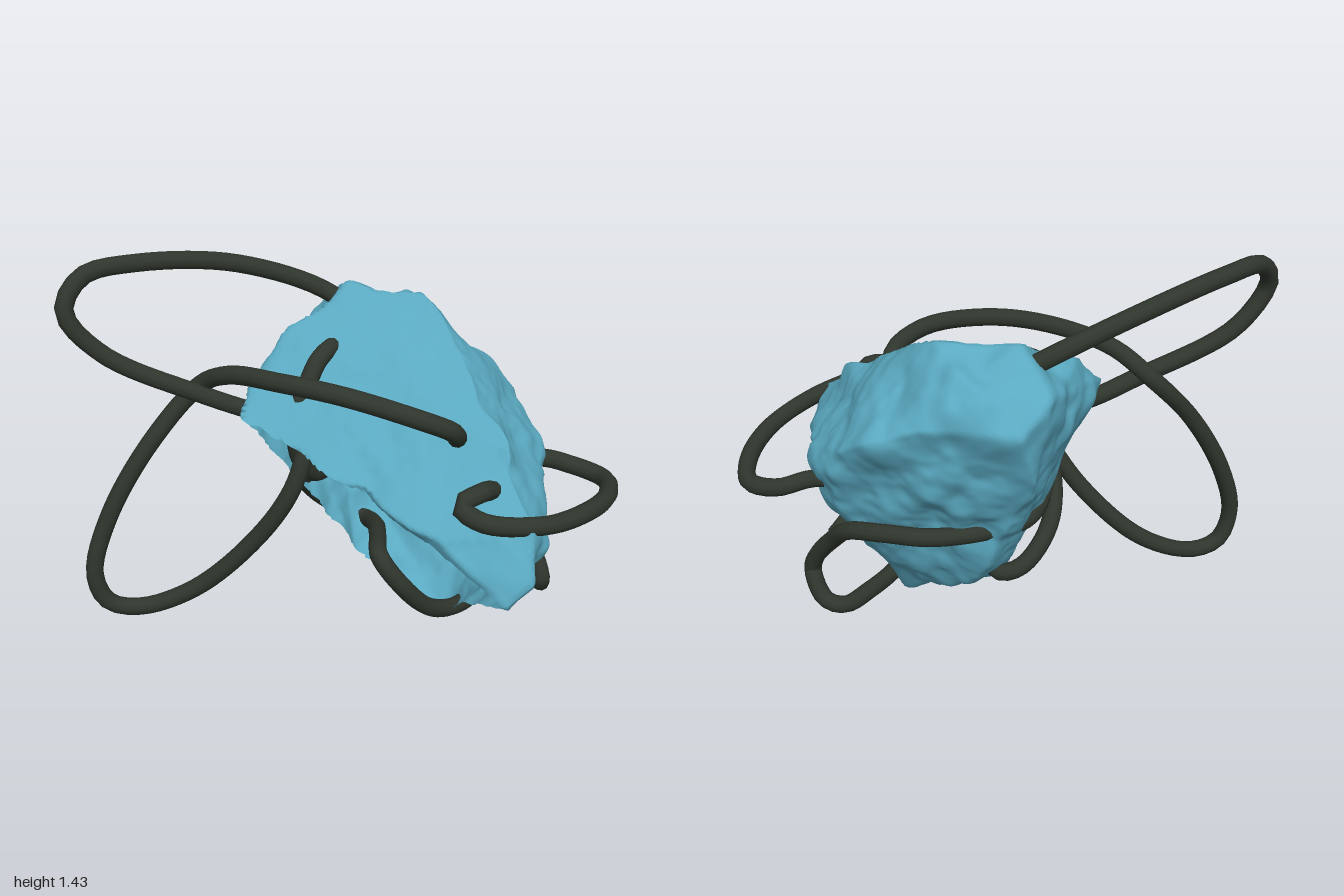
import * as THREE from 'three';
import { mergeVertices } from 'three/addons/utils/BufferGeometryUtils.js';
import { ConvexGeometry } from 'three/addons/geometries/ConvexGeometry.js';

const V = (p) => new THREE.Vector3(...p);

// Smooth seeded value noise in the range -1..1
function hash(x, y, z) {
  const s = Math.sin(x * 127.1 + y * 311.7 + z * 74.7) * 43758.5453;
  return (s - Math.floor(s)) * 2 - 1;
}
function noise(x, y, z) {
  const i = [x, y, z].map(Math.floor);
  const f = [x - i[0], y - i[1], z - i[2]].map((t) => t * t * (3 - 2 * t));
  let sum = 0;
  for (let c = 0; c < 8; c++) {
    const a = c & 1, b = (c >> 1) & 1, d = c >> 2;
    sum += hash(i[0] + a, i[1] + b, i[2] + d)
      * (a ? f[0] : 1 - f[0]) * (b ? f[1] : 1 - f[1]) * (d ? f[2] : 1 - f[2]);
  }
  return sum;
}

// Rough outline of the boulder
const CORNERS = [
  [-0.12, 1.27, -0.24], [0.2, 1.23, -0.22], [0.42, 1.09, -0.03], [0.56, 0.95, 0.13],
  [0.81, 0.7, 0.4], [0.82, 0.53, 0.46], [0.73, 0.46, 0.51], [0.5, 0.62, 0.48], [0.3, 0.69, 0.42],
  [-0.33, 0.87, 0.25], [-0.36, 0.98, 0.1], [-0.3, 1.12, -0.02], [-0.24, 1.13, -0.4],
  [-0.16, 1.04, -0.51], [0.2, 1.02, -0.47], [0.53, 0.87, -0.4], [-0.2, 0.8, -0.42],
  [0.15, 0.75, -0.4], [0.64, 0.68, -0.29], [0.72, 0.72, -0.1], [0.79, 0.66, 0.12],
  [0.83, 0.58, 0.27], [0.05, 1.2, -0.4], [0.35, 0.6, -0.35], [0.6, 0.52, -0.2],
  [0.05, 0.28, -0.26], [-0.1, 0.35, -0.18], [0.43, 0.4, -0.26], [0.38, 0.02, 0],
  [0.25, 0.06, -0.02], [0, 0.2, -0.06], [-0.2, 0.55, 0.07], [0.6, 0.3, 0.2],
];

// Hollow rock: rays from the centre stop at the outline, then get roughened
function rockGeometry() {
  const centre = V([0.2, 0.72, 0]);
  const hull = new ConvexGeometry(CORNERS.map(V)).getAttribute('position');
  const planes = [];
  for (let i = 0; i < hull.count; i += 3) {
    const [a, b, c] = [0, 1, 2].map((k) => new THREE.Vector3().fromBufferAttribute(hull, i + k));
    const plane = new THREE.Plane().setFromCoplanarPoints(a, b, c);
    if (plane.distanceToPoint(centre) > 0) plane.negate();
    planes.push(plane);
  }
  // The open underside at the front
  const mouth = new THREE.Plane().setFromNormalAndCoplanarPoint(
    V([-0.4, -0.55, 0.74]).normalize(), V([0.38, 0.02, 0]));
  planes.push(mouth);
  const flatTop = V([0, 0.74, 0.67]);

  let geo = new THREE.IcosahedronGeometry(1, 50);
  geo.deleteAttribute('normal');
  geo.deleteAttribute('uv');
  geo = mergeVertices(geo, 1e-5);
  const pos = geo.getAttribute('position');
  const open = [];
  const dir = new THREE.Vector3(), p = new THREE.Vector3();
  for (let i = 0; i < pos.count; i++) {
    dir.fromBufferAttribute(pos, i).normalize();
    let r = Infinity, face = null;
    for (const plane of planes) {
      const slope = plane.normal.dot(dir);
      if (slope < 1e-6) continue;
      const t = -plane.distanceToPoint(centre) / slope;
      if (t < r) { r = t; face = plane; }
    }
    p.copy(dir).multiplyScalar(r).add(centre);
    open[i] = mouth.distanceToPoint(p) > -0.012;
    const rough = face.normal.dot(flatTop) > 0.95 ? 0.45 : 1;
    const n = 0.034 * noise(p.x * 5.5, p.y * 5.5, p.z * 5.5)
      + 0.018 * noise(p.x * 11 + 7, p.y * 11, p.z * 11)
      + 0.004 * noise(p.x * 27, p.y * 27 + 5, p.z * 27);
    p.addScaledVector(dir, n * rough);
    pos.setXYZ(i, p.x, Math.max(p.y, 0.01), p.z);
  }
  const index = geo.getIndex().array;
  const kept = [];
  for (let i = 0; i < index.length; i += 3) {
    const tri = [index[i], index[i + 1], index[i + 2]];
    if (!tri.every((k) => open[k])) kept.push(...tri);
  }
  geo.setIndex(kept);
  geo.computeVertexNormals();
  return geo;
}

// Roots weaving in and out of the rock
const ROOTS = {
  upperLoop: [
    [0.02, 1.05, -0.2], [-0.17, 1.2, -0.25], [-0.5, 1.34, -0.1], [-0.8, 1.395, 0.17],
    [-0.93, 1.38, 0.33], [-0.965, 1.27, 0.41], [-0.85, 1.1, 0.36], [-0.5, 0.93, 0.23],
    [-0.3, 0.85, 0.15], [0, 0.78, 0.1], [0.25, 0.71, 0.1], [0.5, 0.68, 0.14], [0.62, 0.72, 0.2],
  ],
  sideLoop: [
    [0.62, 0.72, 0.2], [0.62, 0.78, 0.3], [0.6, 0.815, 0.4], [0.55, 0.79, 0.46],
    [0.63, 0.74, 0.46], [0.82, 0.69, 0.32], [0.94, 0.66, 0.1], [0.965, 0.63, -0.1],
    [0.92, 0.61, -0.24], [0.8, 0.62, -0.28], [0.66, 0.65, -0.24], [0.45, 0.58, -0.15],
    [0.2, 0.5, -0.05], [0.16, 0.52, 0], [0.28, 0.66, 0.08], [0.46, 0.8, 0.1],
  ],
  largeLoop: [
    [0.46, 0.8, 0.1], [0.46, 0.9, 0.19], [0.46, 0.96, 0.26], [0.35, 1.03, 0.34],
    [0.1, 1.08, 0.36], [-0.15, 1.08, 0.33], [-0.4, 1.04, 0.25], [-0.55, 0.95, 0.2],
    [-0.72, 0.72, 0.32], [-0.86, 0.43, 0.42], [-0.91, 0.2, 0.47], [-0.87, 0.07, 0.45],
    [-0.76, 0.04, 0.4], [-0.55, 0.13, 0.33], [-0.3, 0.38, 0.28], [-0.15, 0.62, 0.26],
    [-0.11, 0.8, 0.2], [-0.13, 0.9, 0.08],
  ],
  // Pierces the back wall, bows out of the mouth and dips under the rock
  lowerRoot: [
    [-0.11, 0.8, 0.1], [-0.2, 0.6, 0.05], [-0.21, 0.43, -0.08], [-0.12, 0.3, -0.19],
    [-0.03, 0.27, -0.2], [0.06, 0.32, -0.08], [0.14, 0.385, 0.12], [0.2, 0.4, 0.27],
    [0.27, 0.31, 0.27], [0.36, 0.14, 0.15], [0.43, 0.08, 0.02], [0.5, 0.085, -0.15],
    [0.57, 0.1, -0.28], [0.64, 0.115, -0.28], [0.73, 0.155, -0.15], [0.71, 0.23, -0.16],
    [0.61, 0.37, -0.22], [0.53, 0.46, -0.29], [0.38, 0.5, -0.345], [0.2, 0.51, -0.36],
    [0, 0.52, -0.3], [-0.14, 0.51, -0.17], [-0.18, 0.54, -0.02],
    [-0.2, 0.65, 0.07], [-0.2, 0.8, 0.12],
  ],
  // Small arch over the flat top
  topArch: [
    [-0.2, 0.8, 0.12], [-0.17, 0.9, 0.15], [-0.14, 0.99, 0.12], [-0.12, 1.06, 0.07],
    [-0.1, 1.09, 0.01], [-0.09, 1.08, -0.07],
  ],
  innerRoot: [
    [0.17, 0.5, -0.03], [0.3, 0.5, -0.08], [0.46, 0.49, -0.1], [0.55, 0.43, -0.1], [0.61, 0.37, -0.18],
  ],
};

export function createModel() {
  const model = new THREE.Group();
  const stone = new THREE.MeshStandardMaterial({ color: 0x5aa9c1, side: THREE.DoubleSide });
  stone.name = 'blueStone';
  const bark = new THREE.MeshStandardMaterial({ color: 0x2f362d });
  bark.name = 'darkBark';

  const rock = new THREE.Mesh(rockGeometry(), stone);
  rock.name = 'rock';
  model.add(rock);

  const radius = 0.035;
  for (const [name, points] of Object.entries(ROOTS)) {
    const curve = new THREE.CatmullRomCurve3(points.map(V));
    const root = new THREE.Group();
    root.name = name;
    const stem = new THREE.Mesh(new THREE.TubeGeometry(curve, points.length * 5, radius, 10), bark);
    stem.name = name + 'Stem';
    root.add(stem);
    // Rounded tips
    for (const end of [points[0], points[points.length - 1]]) {
      const tip = new THREE.Mesh(new THREE.SphereGeometry(radius, 10, 8), bark);
      tip.name = name + 'Tip';
      tip.position.set(...end);
      root.add(tip);
    }
    model.add(root);
  }
  return model;
}
